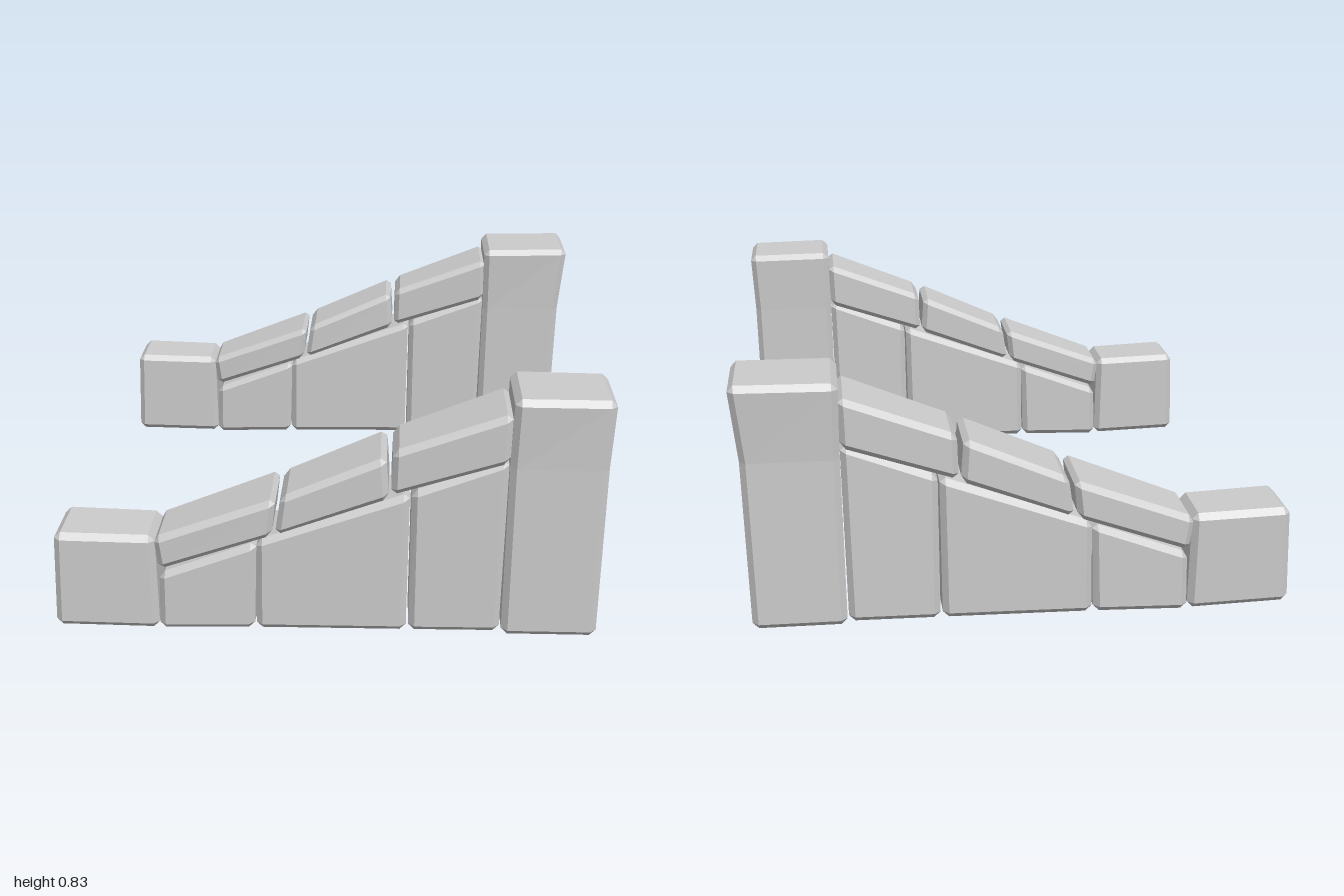
import * as THREE from 'three';

const C = 0.02; // chamfer width

// Four corners of a section, anticlockwise from above.
// s = [xLeft, yLeft, xRight, yRight, zBackLeft, zFrontLeft, zBackRight, zFrontRight]
function corners([xl, yl, xr, yr, bl, fl, br, fr]) {
  return [[xl, yl, fl], [xr, yr, fr], [xr, yr, br], [xl, yl, bl]].map((p) => new THREE.Vector3(...p));
}

// Eight points: corners cut off, or pulled inwards for the end faces
function ring(c, inset) {
  const pts = [];
  c.forEach((p, i) => {
    const toPrev = c[(i + 3) % 4].clone().sub(p).setLength(C);
    const toNext = c[(i + 1) % 4].clone().sub(p).setLength(C);
    const both = p.clone().add(toPrev).add(toNext);
    pts.push(inset ? both : p.clone().add(toPrev), inset ? both : p.clone().add(toNext));
  });
  return pts;
}

// Chamfered stone lofted through its sections, bottom to top
function stone(name, sections, material) {
  const levels = sections.map(corners);
  const n = levels.length;
  const toward = (a, b) => a.map((p, i) => p.clone().add(b[i].clone().sub(p).setLength(C)));
  const rings = [
    ring(levels[0], true),
    ring(toward(levels[0], levels[1]), false),
    ...levels.slice(1, -1).map((l) => ring(l, false)),
    ring(toward(levels[n - 1], levels[n - 2]), false),
    ring(levels[n - 1], true),
  ];
  const pos = [];
  const tri = (a, b, c) => {
    if (new THREE.Triangle(a, b, c).getArea() > 1e-8) for (const p of [a, b, c]) pos.push(p.x, p.y, p.z);
  };
  for (let r = 0; r < rings.length - 1; r++) {
    const lo = rings[r], hi = rings[r + 1];
    for (let i = 0; i < 8; i++) {
      const j = (i + 1) % 8;
      tri(lo[i], lo[j], hi[j]);
      tri(lo[i], hi[j], hi[i]);
    }
  }
  const first = rings[0], last = rings[rings.length - 1];
  for (let i = 1; i < 7; i++) {
    tri(first[0], first[i + 1], first[i]);
    tri(last[0], last[i], last[i + 1]);
  }
  const geo = new THREE.BufferGeometry();
  geo.setAttribute('position', new THREE.Float32BufferAttribute(pos, 3));
  geo.computeVertexNormals();
  const mesh = new THREE.Mesh(geo, material);
  mesh.name = name;
  return mesh;
}

// Stones that share their side outline in both walls: bottom edge, top edge
const OUTLINES = {
  endBlock: [[-0.89, 0.015, -0.555, 0.005], [-0.88, 0.345, -0.56, 0.335]],
  lowBaseStone: [[-0.555, 0, -0.245, 0.01], [-0.55, 0.2, -0.235, 0.32]],
  middleBaseStone: [[-0.24, 0.01, 0.243, 0.015], [-0.235, 0.325, 0.25, 0.5]],
  highBaseStone: [[0.25, 0.015, 0.542, 0.02], [0.255, 0.505, 0.555, 0.62]],
  lowCapStone: [[-0.55, 0.215, -0.185, 0.35], [-0.565, 0.33, -0.17, 0.48]],
  middleCapStone: [[-0.175, 0.35, 0.185, 0.487], [-0.155, 0.485, 0.175, 0.63]],
  highCapStone: [[0.19, 0.49, 0.555, 0.615], [0.195, 0.64, 0.56, 0.78]],
};

// Depth of each stone: back and front at its low end, then at its high end
const FRONT = {
  endBlock: [0.735, 0.965, 0.735, 0.955],
  lowBaseStone: [0.74, 0.95, 0.735, 0.955],
  middleBaseStone: [0.735, 0.955, 0.735, 0.96],
  highBaseStone: [0.735, 0.96, 0.73, 0.965],
  lowCapStone: [0.735, 0.955, 0.715, 0.975],
  middleCapStone: [0.73, 0.97, 0.72, 0.98],
  highCapStone: [0.725, 0.96, 0.71, 0.985],
};
const BACK = {
  endBlock: [-0.96, -0.735, -0.96, -0.745],
  lowBaseStone: [-0.955, -0.745, -0.96, -0.74],
  middleBaseStone: [-0.96, -0.74, -0.96, -0.74],
  highBaseStone: [-0.96, -0.74, -0.965, -0.735],
  lowCapStone: [-0.97, -0.745, -0.985, -0.715],
  middleCapStone: [-0.975, -0.72, -0.98, -0.73],
  highCapStone: [-0.97, -0.74, -0.985, -0.715],
};

// Tall posts, waisted below a slightly flared head
const FRONT_POST = [
  [0.547, 0.02, 0.85, 0.02, 0.72, 0.985, 0.72, 0.985],
  [0.555, 0.6, 0.86, 0.6, 0.717, 0.98, 0.717, 0.98],
  [0.562, 0.83, 0.872, 0.825, 0.71, 0.995, 0.71, 0.985],
];
const BACK_POST = [
  [0.547, 0.02, 0.845, 0.02, -0.985, -0.715, -0.985, -0.715],
  [0.555, 0.58, 0.86, 0.58, -0.98, -0.71, -0.98, -0.71],
  [0.555, 0.825, 0.886, 0.83, -0.995, -0.695, -1, -0.705],
];

function wall(name, depths, post, material) {
  const group = new THREE.Group();
  group.name = name;
  for (const [part, outline] of Object.entries(OUTLINES)) {
    group.add(stone(part, outline.map((edge) => [...edge, ...depths[part]]), material));
  }
  group.add(stone('tallPost', post, material));
  return group;
}

export function createModel() {
  const material = new THREE.MeshStandardMaterial({ color: 0xcccccc, flatShading: true });
  const model = new THREE.Group();
  model.name = 'stairSideWalls';
  model.add(wall('frontWall', FRONT, FRONT_POST, material));
  model.add(wall('backWall', BACK, BACK_POST, material));
  return model;
}
